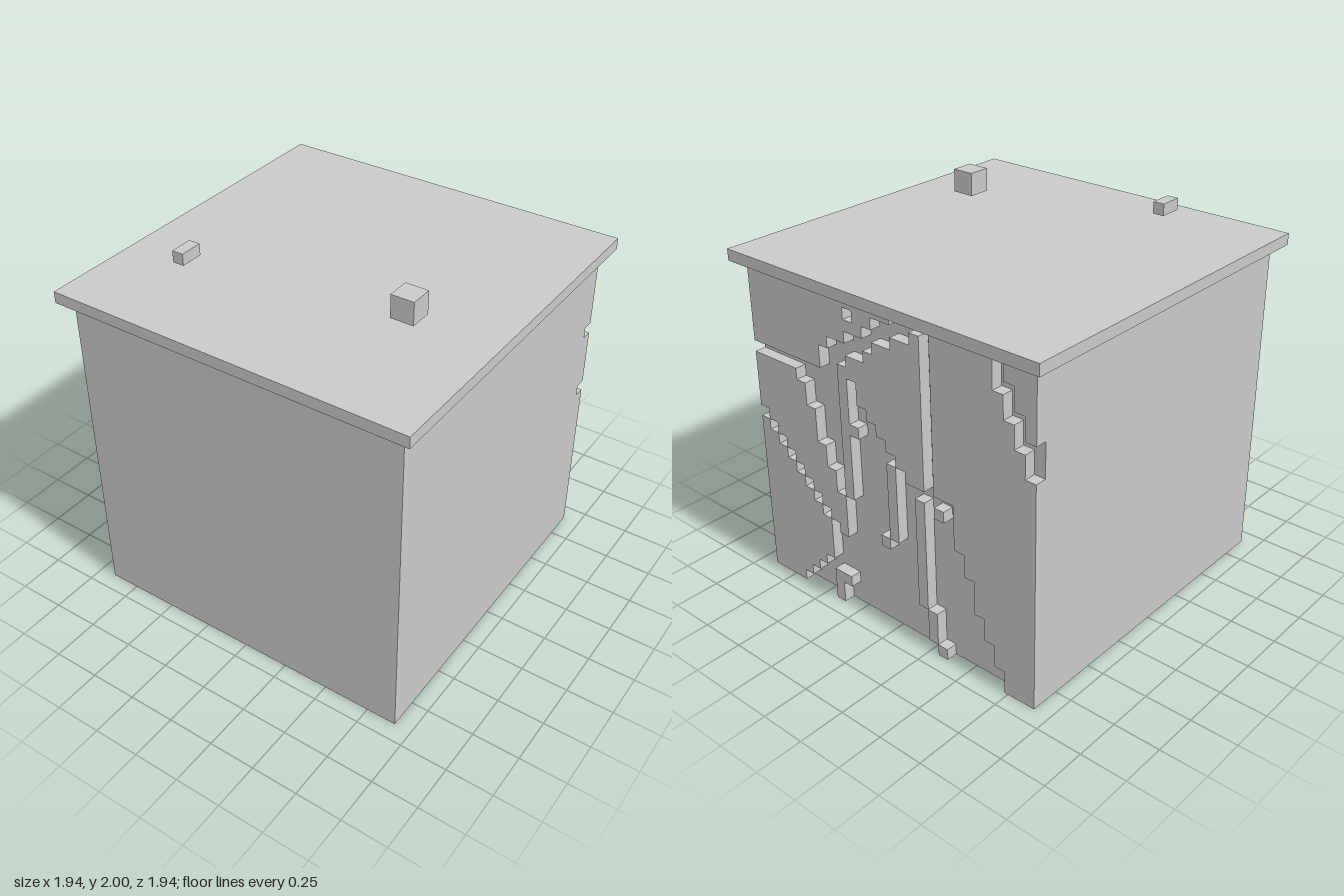
import * as THREE from 'three';
import { mergeGeometries } from 'three/addons/utils/BufferGeometryUtils.js';

const S = 2 / 33; // edge of one block

// box given by its corners, counted in blocks
function blockBox(x0, y0, z0, x1, y1, z1) {
  const g = new THREE.BoxGeometry((x1 - x0) * S, (y1 - y0) * S, (z1 - z0) * S);
  return g.translate((x0 + x1) / 2 * S, (y0 + y1) / 2 * S, (z0 + z1) / 2 * S);
}

// rectangle of w by h blocks around (x, y, z), turned from facing +z
function panel(w, h, x, y, z, turnX, turnY) {
  const g = new THREE.PlaneGeometry(w * S, h * S);
  return g.rotateX(turnX).rotateY(turnY).translate(x * S, y * S, z * S);
}

// cells sunk into the back wall: u runs from the left side, v up
function sunkenCells() {
  const cut = new Set();
  const each = (u0, v0, u1, v1, act) => {
    for (let u = u0; u < u1; u++) for (let v = v0; v < v1; v++) act(u + ',' + v);
  };
  const sink = (u0, v0, u1, v1) => each(u0, v0, u1, v1, (c) => cut.add(c));
  const raise = (u0, v0, u1, v1) => each(u0, v0, u1, v1, (c) => cut.delete(c));

  // upper left slot widening into a tapering hollow
  sink(0, 21, 8, 22);
  [[5, 20, 21], [6, 18, 20], [7, 15, 18], [8, 13, 15], [9, 11, 13]]
    .forEach(([u, v0, v1]) => sink(u, v0, 10, v1));
  sink(8, 21, 10, 23);
  // branch rising to the top, and a lone hole above it
  for (let i = 0; i < 11; i++) {
    const v = 22 + Math.round(i * 0.6);
    sink(8 + i, v, 9 + i, v + 2);
  }
  sink(11, 27, 12, 28);
  // lower left diagonal and the stepped hollow under it
  for (let i = 0; i < 9; i++) sink(i, 15 - i, i + 1, 16 - i);
  for (let i = 0; i < 4; i++) sink(4 + i, 0, 5 + i, i + 1);
  sink(8, 3, 9, 7);
  sink(9, 0, 10, 7);
  sink(10, 0, 11, 11);
  // wide middle hollow under a descending edge
  [22, 20, 19, 18, 17, 16, 15, 15].forEach((top, i) => sink(11 + i, 0, 12 + i, top));
  // long slot from the top and the hollow spreading to the bottom
  sink(19, 0, 20, 29);
  sink(20, 0, 22, 15);
  [[22, 13], [23, 11], [24, 9], [25, 6], [26, 4], [27, 2]]
    .forEach(([u, top]) => sink(20, 0, u, top));
  // upper right crack
  sink(26, 26, 27, 29);
  sink(27, 24, 28, 27);
  sink(28, 22, 29, 25);
  sink(29, 20, 30, 23);

  // thin ridges and studs left standing in the hollows
  raise(9, 2, 10, 3);
  raise(11, 17, 12, 18);
  raise(15, 9, 16, 16);
  raise(14, 8, 15, 9);
  raise(18, 4, 19, 14);
  raise(19, 1, 20, 4);
  raise(20, 0, 21, 1);
  raise(20, 13, 21, 14);
  return cut;
}

// back relief: a face for each cell, and a wall wherever the depth changes
function crackedWall() {
  const cut = sunkenCells(), faces = [];
  const isCut = (u, v) => u < 0 || u > 29 || cut.has(u + ',' + v);
  const Q = Math.PI / 2;
  for (let v = 0; v < 29; v++) {
    for (let u = 0; u < 30; u++) {
      const x = 14.5 - u, y = v + 0.5;
      if (isCut(u, v)) {
        faces.push(panel(1, 1, x, y, -14, 0, Math.PI));
        continue;
      }
      faces.push(panel(1, 1, x, y, -15, 0, Math.PI));
      if (isCut(u - 1, v)) faces.push(panel(1, 1, x + 0.5, y, -14.5, 0, Q));
      if (isCut(u + 1, v)) faces.push(panel(1, 1, x - 0.5, y, -14.5, 0, -Q));
      if (isCut(u, v + 1)) faces.push(panel(1, 1, x, v + 1, -14.5, -Q, 0));
      if (v > 0 && isCut(u, v - 1)) faces.push(panel(1, 1, x, v, -14.5, Q, 0));
    }
  }
  return mergeGeometries(faces);
}

export function createModel() {
  const model = new THREE.Group();
  model.name = 'crackedBlock';
  // the body is an open shell without a floor
  const stone = new THREE.MeshStandardMaterial({ color: 0xc9c9c9, side: THREE.DoubleSide });
  stone.name = 'grey stone';

  const add = (name, geometry) => {
    const mesh = new THREE.Mesh(geometry, stone);
    mesh.name = name;
    model.add(mesh);
  };

  add('frontWall', panel(30, 29, 0, 14.5, 15, 0, 0));
  add('leftWall', panel(29, 29, 15, 14.5, 0.5, 0, Math.PI / 2));
  add('rightWall', panel(29, 29, -15, 14.5, 0.5, 0, -Math.PI / 2));
  add('crackedBackWall', crackedWall());
  add('roofSlab', blockBox(-16, 29, -16, 16, 30, 16));
  // loose blocks hovering over the roof
  add('largeFloatingBlock', blockBox(8, 31, 4, 10, 33, 6));
  add('smallFloatingBlock', blockBox(-9, 32, 8, -8, 33, 10));
  return model;
}
